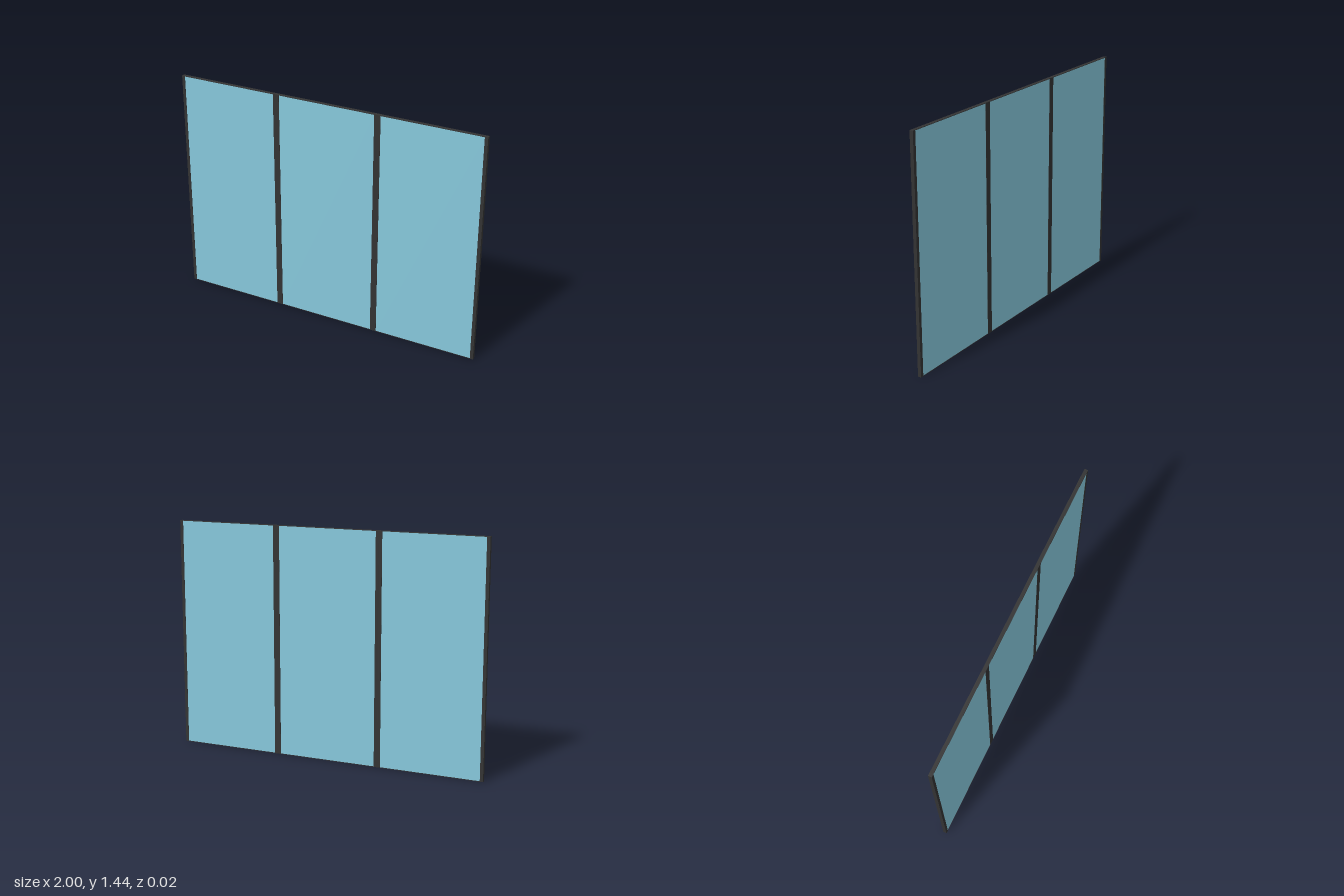
import * as THREE from 'three';

export function createModel() {
  const model = new THREE.Group();
  const frameMat = new THREE.MeshStandardMaterial({ color: 0x333333 });
  const glassMat = new THREE.MeshStandardMaterial({ color: 0x87c8dc });

  const count = 3, width = 2 / count, height = 1.44, depth = 0.022;
  const stile = 0.02, rail = 0.003, glassDepth = 0.019;

  const box = (parent, name, mat, w, h, d, x, y) => {
    const mesh = new THREE.Mesh(new THREE.BoxGeometry(w, h, d), mat);
    mesh.name = name;
    mesh.position.set(x, y, 0);
    parent.add(mesh);
  };

  // Three equal framed panes side by side; neighbouring stiles form the mullions
  for (let i = 0; i < count; i++) {
    const panel = new THREE.Group();
    panel.name = `panel${i + 1}`;
    panel.position.x = (i - (count - 1) / 2) * width;
    const inner = width - 2 * stile;

    for (const s of [-1, 1]) {
      box(panel, s > 0 ? 'leftStile' : 'rightStile', frameMat,
        stile, height, depth, s * (width - stile) / 2, height / 2);
    }
    // Thin rails close the pane at the top and bottom
    box(panel, 'bottomRail', frameMat, inner, rail, depth, 0, rail / 2);
    box(panel, 'topRail', frameMat, inner, rail, depth, 0, height - rail / 2);
    box(panel, 'glassPane', glassMat, inner, height - 2 * rail, glassDepth, 0, height / 2);
    model.add(panel);
  }
  return model;
}
